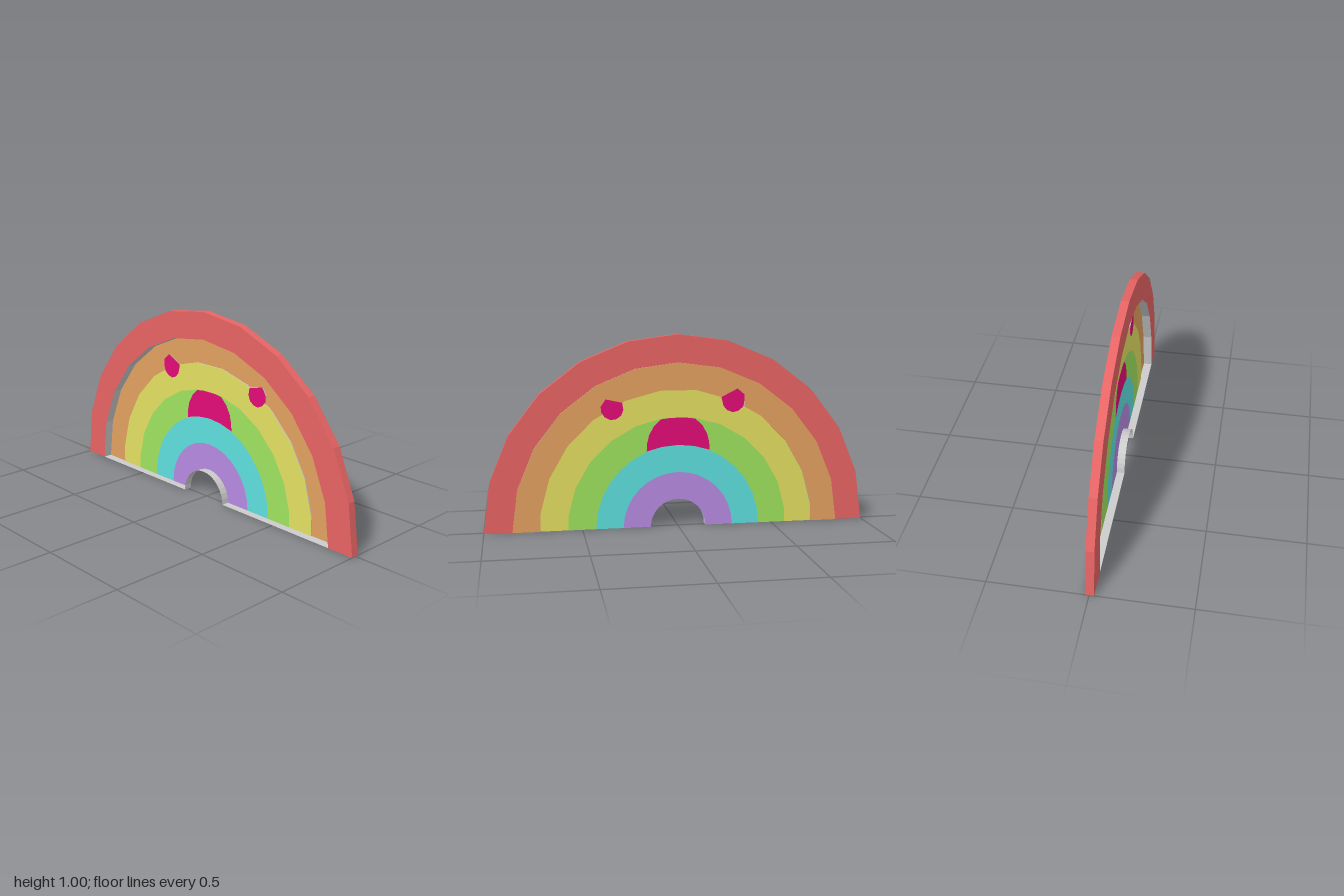
import * as THREE from 'three';

// Depth levels, back to front (local z, turned to world x at the end)
const BACK = -0.024, MID = 0.018, FRONT = 0.0235;

// Half-circle of points; "half" shifts the corners by half a step
function arc(r, n, half = false) {
  const pts = [];
  const at = (a, q = r) => pts.push([q * Math.cos(a), q * Math.sin(a)]);
  if (!half) {
    for (let i = 0; i <= n; i++) at(Math.PI * i / n);
  } else {
    at(0, r * 0.992);
    for (let i = 0; i < n; i++) at(Math.PI * (i + 0.5) / n);
    at(Math.PI, r * 0.992);
  }
  return pts;
}

const vec = pts => pts.map(p => new THREE.Vector2(p[0], p[1]));

function material(color) {
  return new THREE.MeshStandardMaterial({ color, flatShading: true, side: THREE.DoubleSide });
}

function add(group, name, geometry, color) {
  const mesh = new THREE.Mesh(geometry, material(color));
  mesh.name = name;
  group.add(mesh);
  return mesh;
}

// Flat sheet between two arcs
function sheet(group, name, outer, inner, z, color) {
  const shape = new THREE.Shape(vec([...outer, ...[...inner].reverse()]));
  add(group, name, new THREE.ShapeGeometry(shape).translate(0, 0, z), color);
}

// Upright strip following a line of points from depth z0 to z1
function wall(group, name, pts, z0, z1, color = 0xcccccc) {
  const pos = [], index = [];
  pts.forEach(([x, y], i) => {
    pos.push(x, y, z0, x, y, z1);
    if (i) {
      const a = 2 * i - 2;
      index.push(a, a + 2, a + 1, a + 1, a + 2, a + 3);
    }
  });
  const g = new THREE.BufferGeometry();
  g.setAttribute('position', new THREE.Float32BufferAttribute(pos, 3));
  g.setIndex(index);
  g.computeVertexNormals();
  add(group, name, g, color);
}

// Very thin patch lying in a band
function patch(group, name, pts, color) {
  const g = new THREE.ExtrudeGeometry(new THREE.Shape(vec(pts)), { depth: 0.0016, bevelEnabled: false });
  add(group, name, g.translate(0, 0, MID - 0.0008), color);
}

export function createModel() {
  const model = new THREE.Group();
  model.name = 'rainbow';
  const body = new THREE.Group();
  body.name = 'rainbowBody';
  body.rotation.y = Math.PI / 2;
  model.add(body);

  const red = 0xe86464, pink = 0xe30b78;
  const rim = arc(1, 12), redInner = arc(0.857, 12);
  const yellowOuter = arc(0.72, 12, true), greenOuter = arc(0.577, 12, true);
  const cyanOuter = arc(0.43, 16), violetOuter = arc(0.287, 16), hole = arc(0.145, 16);

  // Orange band is cut back around the tops of the eyes
  const orangeInner = [...yellowOuter];
  orangeInner.splice(9, 0, [-0.29, 0.656], [-0.375, 0.675], [-0.4, 0.638], [-0.397, 0.595]);
  orangeInner.splice(5, 1, [0.347, 0.624], [0.349, 0.686], [0.311, 0.718], [0.226, 0.675]);

  // Thick outer band
  sheet(body, 'redBandFront', rim, redInner, MID, red);
  sheet(body, 'redBandBack', rim, redInner, BACK, red);
  wall(body, 'redBandRim', rim, BACK, MID, red);
  for (const s of [-1, 1]) {
    wall(body, 'redBandFoot', [[s * 0.857, 0], [s, 0]], BACK, MID, red);
    // Grey floor of the tray behind the inner bands
    wall(body, 'trayFloor', [[s * 0.145, 0], [s * 0.714, 0]], BACK, MID);
    wall(body, 'trayFloorEnd', [[s * 0.714, 0], [s * 0.857, 0]], BACK, FRONT);
  }

  // Grey walls of the tray and of the step between bands
  wall(body, 'trayOuterWall', redInner, BACK, FRONT);
  wall(body, 'archWall', hole, BACK, MID);
  wall(body, 'orangeStep', orangeInner, MID, FRONT);

  // Inner bands, single sheets seen from both sides
  sheet(body, 'orangeBand', redInner, orangeInner, FRONT, 0xe3a160);
  sheet(body, 'yellowBand', yellowOuter, greenOuter, MID, 0xe3e062);
  sheet(body, 'greenBand', greenOuter, cyanOuter, MID, 0x9fe35f);
  sheet(body, 'cyanBand', cyanOuter, violetOuter, MID, 0x5fe0e0);
  sheet(body, 'violetBand', violetOuter, hole, MID, 0xb78ae3);

  // Face
  patch(body, 'leftEye', [[-0.29, 0.656], [-0.375, 0.675], [-0.4, 0.638], [-0.398, 0.61], [-0.38, 0.583],
    [-0.35, 0.568], [-0.32, 0.572], [-0.295, 0.59], [-0.284, 0.62]], pink);
  patch(body, 'rightEye', [[0.226, 0.675], [0.311, 0.718], [0.349, 0.686], [0.35, 0.65], [0.34, 0.62],
    [0.315, 0.6], [0.288, 0.594], [0.258, 0.605], [0.238, 0.628]], pink);
  const side = [[0.165, 0.4], [0.163, 0.44], [0.152, 0.485], [0.127, 0.53], [0.09, 0.565]];
  patch(body, 'mouth', [[0, 0.43], [0.084, 0.422], ...side, [0.04, 0.572], [-0.04, 0.572],
    ...[...side].reverse().map(([x, y]) => [-x, y]), [-0.084, 0.422]], pink);

  return model;
}
